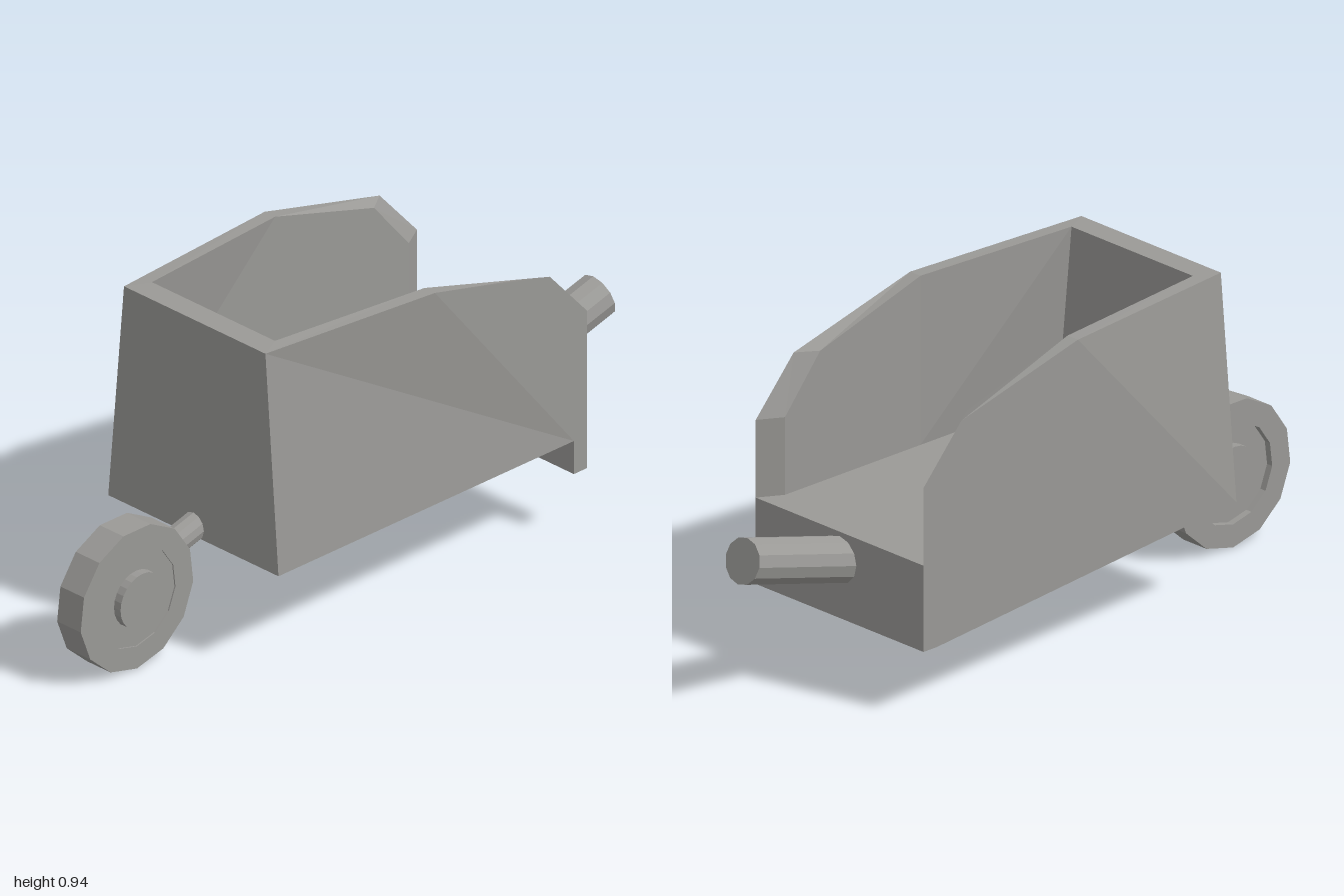
import * as THREE from 'three';

const grey = new THREE.MeshStandardMaterial({ color: 0x9a9996, flatShading: true });
grey.name = 'grey';

// Cylinder between two points
function rod(name, from, to, radius, sides) {
  const a = new THREE.Vector3(...from), b = new THREE.Vector3(...to);
  const dir = b.clone().sub(a);
  const mesh = new THREE.Mesh(new THREE.CylinderGeometry(radius, radius, dir.length(), sides), grey);
  mesh.position.copy(a).add(b).multiplyScalar(0.5);
  mesh.quaternion.setFromUnitVectors(new THREE.Vector3(0, 1, 0), dir.normalize());
  mesh.name = name;
  return mesh;
}

// Tub: corners listed for the +z side, mirrored for the other
function createTub() {
  const p = {
    // outer outline
    A: [-0.53, 0.94, 0.27], K: [0.05, 0.93, 0.325], E: [0.48, 0.82, 0.325], F: [0.62, 0.665, 0.325],
    P: [0.62, 0.44, 0.325], G: [0.62, 0.19, 0.325], H: [0.57, 0.19, 0.325], C: [0.57, 0.29, 0.325],
    D: [-0.535, 0.29, 0.325],
    // inner outline
    a: [-0.46, 0.94, 0.235], k: [0.05, 0.93, 0.285], e: [0.42, 0.82, 0.285], f: [0.55, 0.665, 0.285],
    g: [0.55, 0.44, 0.285], m: [0.05, 0.44, 0.285], b: [-0.46, 0.44, 0.285],
  };
  const pos = [];
  const flip = ([x, y, z]) => [x, y, -z];
  const fan = (pts) => {
    for (let i = 1; i < pts.length - 1; i++) pos.push(...pts[0], ...pts[i], ...pts[i + 1]);
  };
  // side walls, their inner faces and the bevelled rim
  for (const names of ['CHGFEKAD', 'akmb', 'mkefg', 'AKka', 'KEek', 'EFfe', 'FPgf']) {
    const pts = [...names].map((n) => p[n]);
    fan(pts);
    fan(pts.map(flip).reverse());
  }
  // faces spanning the width: floor, back wall, underside, front lip
  for (const [s, t] of ['bg', 'gP', 'ab', 'Aa']) fan([p[s], p[t], flip(p[t]), flip(p[s])]);
  for (const [s, t] of ['AD', 'DC', 'CH', 'HG', 'GP']) fan([p[s], flip(p[s]), flip(p[t]), p[t]]);

  const geo = new THREE.BufferGeometry();
  geo.setAttribute('position', new THREE.Float32BufferAttribute(pos, 3));
  geo.computeVertexNormals();
  const mesh = new THREE.Mesh(geo, grey);
  mesh.name = 'tub';
  return mesh;
}

// Wheel: thirteen-sided rim around a disc recessed at the back, with a hub
function createWheel() {
  const wheel = new THREE.Group();
  wheel.name = 'wheel';
  const sides = 13;
  const ring = (r) => Array.from({ length: sides }, (_, i) => {
    const t = -Math.PI / 2 + (i / sides) * Math.PI * 2;
    return new THREE.Vector2(Math.cos(t) * r, Math.sin(t) * r);
  });
  const shape = new THREE.Shape(ring(0.212));
  shape.holes.push(new THREE.Path(ring(0.145).reverse()));
  const rim = new THREE.Mesh(new THREE.ExtrudeGeometry(shape, { depth: 0.09, bevelEnabled: false }), grey);
  rim.position.z = -0.045;
  rim.name = 'rim';
  const disc = rod('disc', [0, 0, -0.025], [0, 0, 0.041], 0.147, 26);
  const hub = rod('hub', [0, 0, -0.052], [0, 0, 0.066], 0.082, 24);
  wheel.add(rim, disc, hub);
  wheel.position.set(-0.79, 0.212, 0);
  return wheel;
}

export function createModel() {
  const model = new THREE.Group();
  model.name = 'wheelbarrow';
  model.add(
    createTub(),
    createWheel(),
    rod('handle', [0.55, 0.341, 0], [0.978, 0.458, 0], 0.065, 12),
    rod('wheelStrut', [-0.45, 0.342, 0], [-0.78, 0.25, 0], 0.04, 12),
  );
  return model;
}
